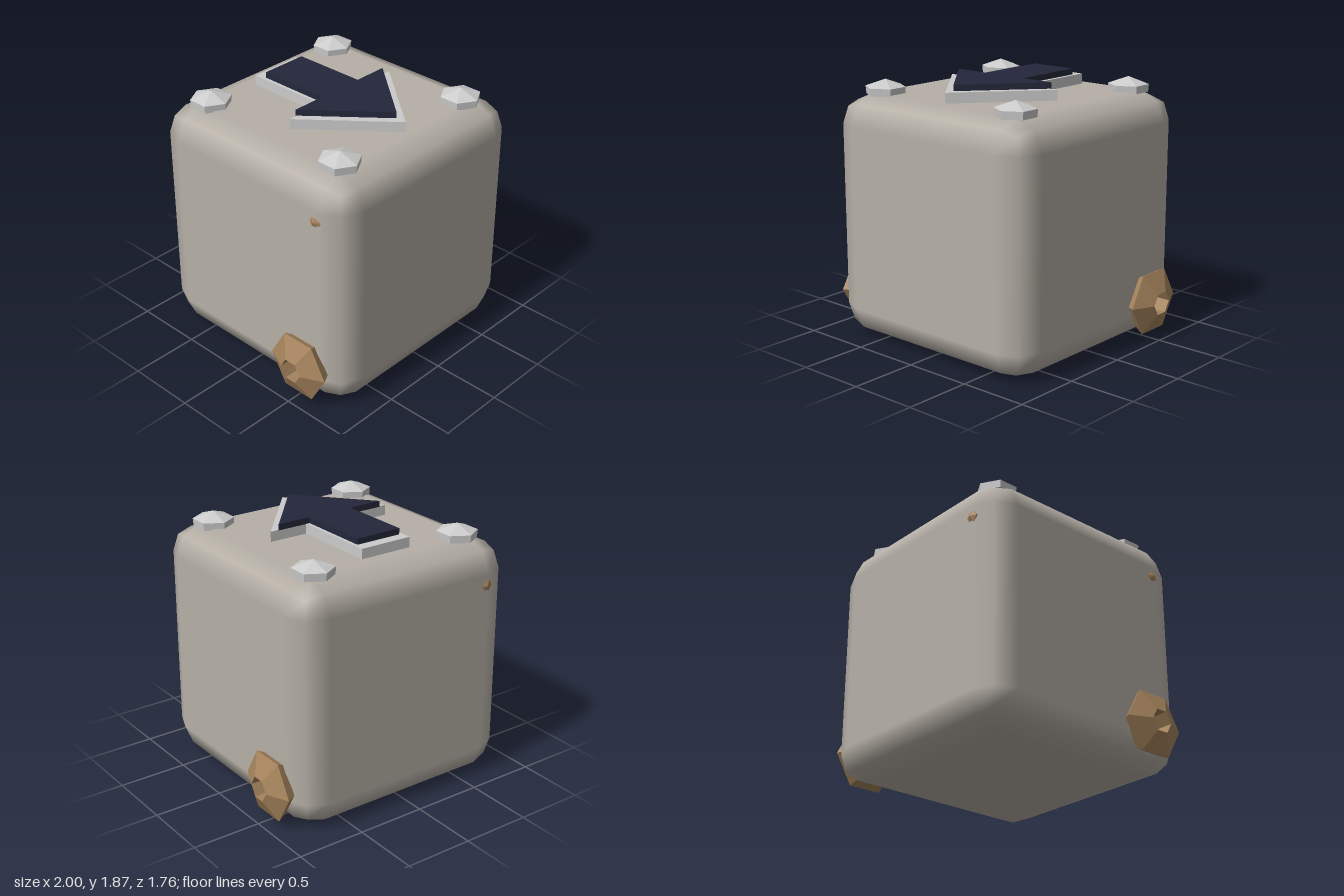
import * as THREE from 'three';
import { RoundedBoxGeometry } from 'three/addons/geometries/RoundedBoxGeometry.js';

const bodyMat = new THREE.MeshStandardMaterial({ color: 0xb5afa6 });
const steelMat = new THREE.MeshStandardMaterial({ color: 0xcccccc, flatShading: true });
const brassMat = new THREE.MeshStandardMaterial({ color: 0xa5835c, flatShading: true });
const navyMat = new THREE.MeshStandardMaterial({ color: 0x24273a, flatShading: true });

function add(parent, name, geometry, material, x = 0, y = 0, z = 0) {
  const mesh = new THREE.Mesh(geometry, material);
  mesh.name = name;
  mesh.position.set(x, y, z);
  parent.add(mesh);
  return mesh;
}

// Six-sided turned part; profile points are [radius, height]
function hexLathe(profile) {
  return new THREE.LatheGeometry(profile.map(([r, h]) => new THREE.Vector2(r, h)), 6);
}

// Flat arrow pointing to +z with its top face at y = 0
function arrowGeometry(shaft, head, tail, neck, tip, depth) {
  const shape = new THREE.Shape([
    [-shaft, tail], [shaft, tail], [shaft, neck], [head, neck],
    [0, tip], [-head, neck], [-shaft, neck],
  ].map(([x, y]) => new THREE.Vector2(x, y)));
  return new THREE.ExtrudeGeometry(shape, { depth, bevelEnabled: false }).rotateX(Math.PI / 2);
}

export function createModel() {
  const model = new THREE.Group();
  model.name = 'arrowBlock';

  // Block with two-step rounded edges
  add(model, 'body', new RoundedBoxGeometry(1.75, 1.75, 1.745, 1, 0.213), bodyMat, 0, 0.875, 0.0075);

  // Raised arrow on top
  add(model, 'arrowBase', arrowGeometry(0.2, 0.49, -0.58, 0.05, 0.63, 0.08), steelMat, 0, 1.823, 0);
  add(model, 'arrowFace', arrowGeometry(0.175, 0.43, -0.5, 0.042, 0.55, 0.044), navyMat, 0, 1.866, 0);

  // Hexagonal bolt heads in the top corners
  const bolt = hexLathe([[0, 0], [0.14, 0], [0.145, 0.055], [0, 0.107]]);
  for (const x of [-0.6, 0.6]) {
    for (const z of [-0.6, 0.605]) add(model, 'topBolt', bolt, steelMat, x, 1.74, z);
  }

  // Large side nuts, diagonally opposed
  const nut = hexLathe([[0.21, 0], [0.25, 0.07], [0.088, 0.145], [0.088, 0]]).rotateZ(-Math.PI / 2);
  add(model, 'leftNut', nut, brassMat, 0.855, 0.275, -0.515);
  add(model, 'rightNut', nut, brassMat, -0.855, 0.275, 0.525).rotation.y = Math.PI;

  // Small studs near the upper edges
  const stud = hexLathe([[0.05, 0], [0.05, 0.015], [0, 0.035]]).rotateZ(-Math.PI / 2);
  add(model, 'rightStud', stud, brassMat, -0.855, 1.46, 0.64).rotation.y = Math.PI;
  add(model, 'backStud', stud, brassMat, -0.65, 1.46, -0.845).rotation.y = Math.PI / 2;

  return model;
}
